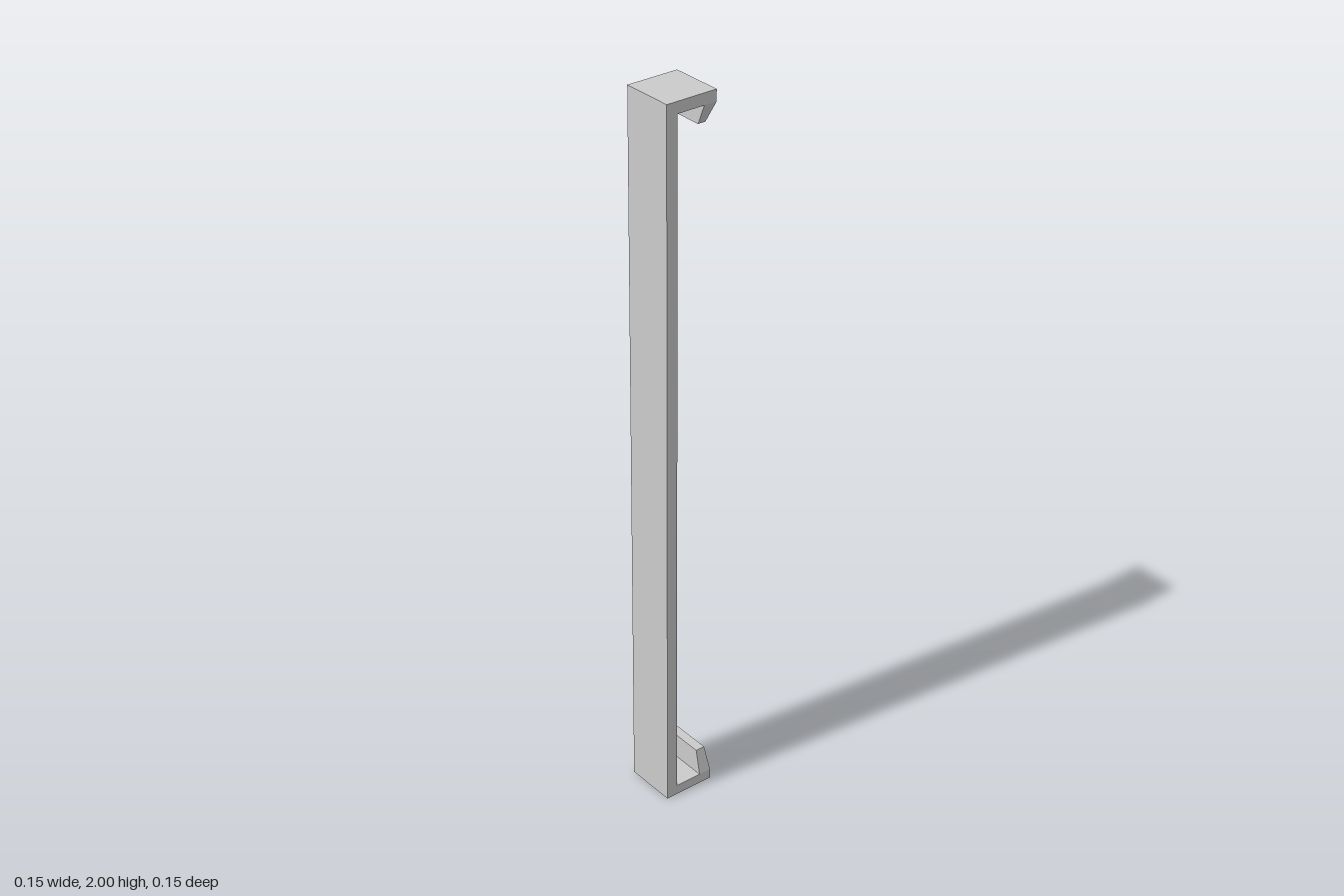
import * as THREE from 'three';

const HALF = 0.073; // half of the square footprint
const material = new THREE.MeshStandardMaterial({ color: 0xcccccc, flatShading: true });

// Lip that tapers from the flange (yBase) to its free end (yEnd); its inner face stays vertical
function createLip(name, yBase, yEnd, outerEnd, halfDepthEnd) {
  const inner = 0.037;
  const geometry = new THREE.BoxGeometry(1, 1, 1);
  const p = geometry.attributes.position;
  const endIsTop = yEnd > yBase;
  for (let i = 0; i < p.count; i++) {
    const atEnd = (p.getY(i) > 0) === endIsTop;
    const outer = atEnd ? outerEnd : HALF;
    const depth = atEnd ? halfDepthEnd : HALF;
    p.setXYZ(i, p.getX(i) > 0 ? outer : inner, atEnd ? yEnd : yBase, Math.sign(p.getZ(i)) * depth);
  }
  geometry.computeVertexNormals();
  const lip = new THREE.Mesh(geometry, material);
  lip.name = name;
  return lip;
}

export function createModel() {
  const group = new THREE.Group();
  group.name = 'bracket';

  // Long back plate with a flange at each end, as one C-shaped profile
  const profile = new THREE.Shape([
    [-HALF, 0], [HALF, 0], [HALF, 0.028], [-0.041, 0.028],
    [-0.041, 1.969], [HALF, 1.969], [HALF, 2], [-HALF, 2],
  ].map(([x, y]) => new THREE.Vector2(x, y)));
  const geometry = new THREE.ExtrudeGeometry(profile, { depth: 2 * HALF, bevelEnabled: false });
  geometry.translate(0, 0, -HALF);
  const channel = new THREE.Mesh(geometry, material);
  channel.name = 'channel';
  group.add(channel);

  // Hooked lips on the flanges
  group.add(createLip('upperLip', 1.969, 1.915, 0.059, 0.05));
  group.add(createLip('lowerLip', 0.028, 0.1, 0.064, 0.058));
  return group;
}
